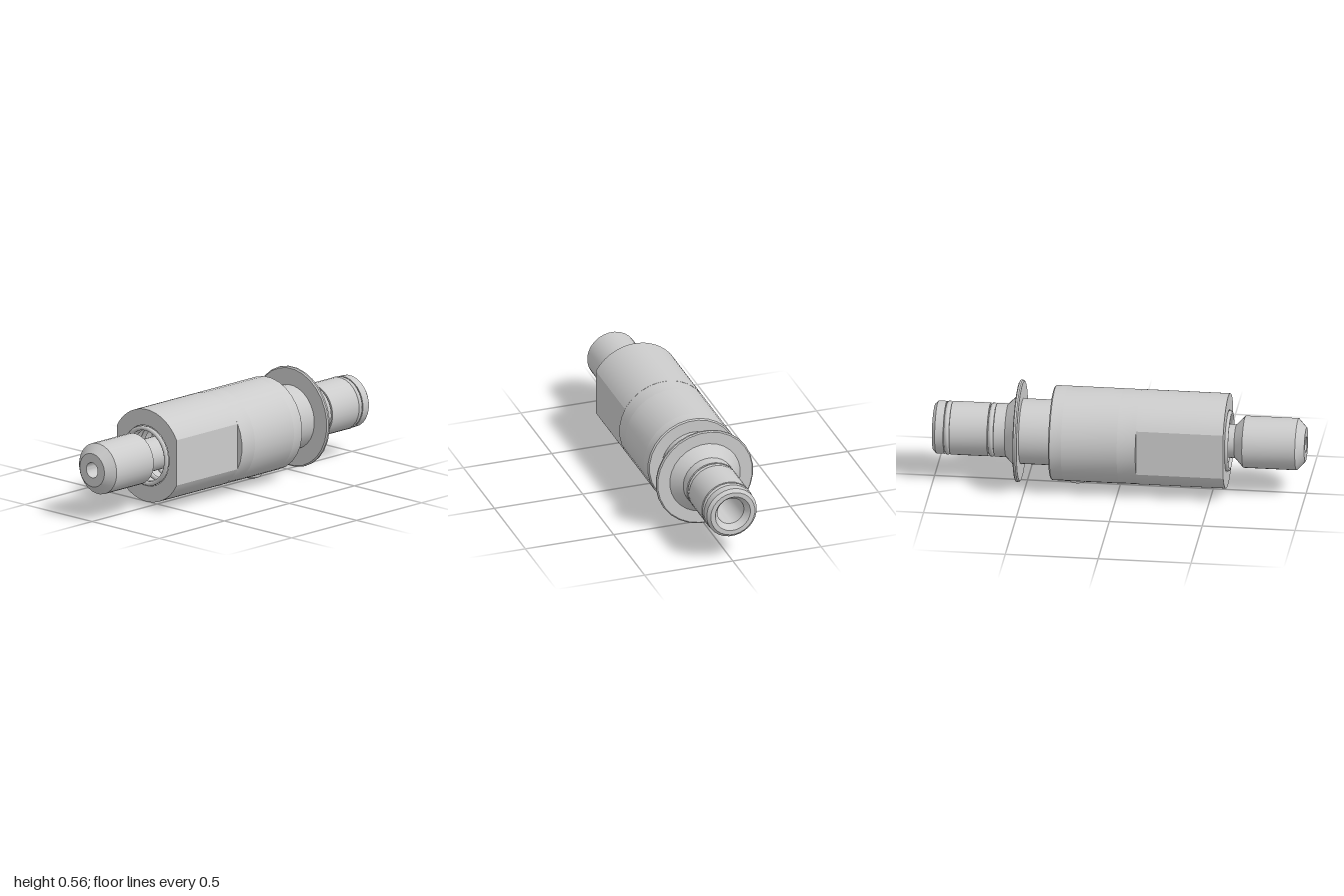
import * as THREE from 'three';
import { toCreasedNormals } from 'three/addons/utils/BufferGeometryUtils.js';

const SIDES = 28;
const STEP = (Math.PI * 2) / SIDES;
const AXIS_Y = 0.284;
const mat = new THREE.MeshStandardMaterial({ color: 0xcccccc });
const matDouble = new THREE.MeshStandardMaterial({ color: 0xcccccc, side: THREE.DoubleSide });

function add(parent, name, geo, material = mat) {
  const mesh = new THREE.Mesh(geo, material);
  mesh.name = name;
  parent.add(mesh);
  return mesh;
}

// Turned part along z from [radius, z] pairs; angle 0 points straight down
function turned(points, start = STEP / 2, segs = SIDES) {
  const geo = new THREE.LatheGeometry(points.map(([r, z]) => new THREE.Vector2(r, z)), segs, start, segs * STEP);
  geo.rotateX(Math.PI / 2);
  return toCreasedNormals(geo, 0.45);
}

// Surface grid from a rule fn(i, j) -> [x, y, z]
function grid(nu, nv, fn) {
  const pos = [], idx = [];
  for (let i = 0; i <= nu; i++) for (let j = 0; j <= nv; j++) pos.push(...fn(i, j));
  for (let i = 0; i < nu; i++) for (let j = 0; j < nv; j++) {
    const a = i * (nv + 1) + j, b = a + nv + 1;
    idx.push(a, b, a + 1, b, b + 1, a + 1);
  }
  const geo = new THREE.BufferGeometry();
  geo.setAttribute('position', new THREE.Float32BufferAttribute(pos, 3));
  geo.setIndex(idx);
  geo.computeVertexNormals();
  return geo;
}

export function createModel() {
  const model = new THREE.Group();
  const body = new THREE.Group();
  body.name = 'plungerAssembly';
  body.position.y = AXIS_Y;
  model.add(body);

  // Hollow shaft: nose, neck, collar, flange and grooved rear spigot
  add(body, 'shaft', turned([
    [0.1, -1], [0.125, -1], [0.142, -0.983], [0.142, -0.938], [0.128, -0.938], [0.128, -0.906],
    [0.144, -0.906], [0.144, -0.702], [0.128, -0.702], [0.128, -0.668], [0.144, -0.668],
    [0.144, -0.607], [0.2, -0.55], [0.268, -0.55], [0.275, -0.555 + 0.01], [0.275, -0.535],
    [0.268, -0.528], [0.176, -0.528], [0.176, 0.06], [0.09, 0.06], [0.09, 0.622],
    [0.14, 0.67], [0.14, 0.955], [0.092, 1], [0.042, 1], [0.042, -0.65], [0.075, -0.65],
    [0.075, -0.965], [0.1, -1],
  ]));

  // Seal rings in the two grooves
  for (const z of [-0.922, -0.685]) {
    const ring = add(body, 'sealRing', new THREE.TorusGeometry(0.131, 0.0145, 10, SIDES));
    ring.position.z = z;
  }

  // Sleeve, front part with two wrench flats
  const R = 0.255, BORE = 0.18, flat = Math.acos(0.222 / R);
  const section = new THREE.Shape();
  section.absarc(0, 0, R, flat, Math.PI - flat);
  section.absarc(0, 0, R, Math.PI + flat, Math.PI * 2 - flat);
  section.closePath();
  section.holes.push(new THREE.Path().absarc(0, 0, 0.167, 0, Math.PI * 2, true));
  const front = new THREE.ExtrudeGeometry(section, { depth: 0.47, bevelEnabled: false, curveSegments: 14 });
  front.translate(0, 0, 0.11);
  add(body, 'sleeveFront', toCreasedNormals(front, 0.45));

  // Sleeve, round rear part; the middle stretch is left open at the bottom for the slot panel
  const z0 = -0.29, z1 = 0.01, edge = 2.5 * STEP;
  const tube = (a, b, c = 0) => [[BORE, a], [R - c, a], [R, a + c], [R, b], [BORE, b], [BORE, a]];
  add(body, 'sleeveRearEnd', turned(tube(-0.36, z0, 0.007)));
  add(body, 'sleeveMiddle', turned(tube(z0, z1), edge, SIDES - 5));
  add(body, 'sleeveStep', turned(tube(z1, 0.11)));

  // Slot panel: each half runs from the rounded slot outline to the open edge of the sleeve
  const half = 0.05, s0 = -0.28, s1 = 0.0, zs = [z0];
  for (let i = 0; i <= 8; i++) zs.push(s0 + half * (1 - Math.cos((i / 8) * Math.PI / 2)));
  for (let i = 0; i <= 8; i++) zs.push(s1 - half * (1 - Math.sin((i / 8) * Math.PI / 2)));
  zs.push(z1);
  const gap = (z) => {
    const d = Math.max(s0 + half - z, z - (s1 - half), 0);
    return Math.sqrt(Math.max(0, half * half - d * d)) / R;
  };
  const at = (r, a, z) => [r * Math.sin(a), -r * Math.cos(a), z];
  for (const side of [1, -1]) {
    const panel = (r, flip) => grid(zs.length - 1, 4, (i, j) => {
      const t = (flip ? 4 - j : j) / 4, g = gap(zs[i]);
      return at(r, side * (g + (edge - g) * t), zs[i]);
    });
    add(body, 'slotPanelOuter', panel(R, side < 0), matDouble);
    add(body, 'slotPanelInner', panel(BORE, side > 0), matDouble);
    add(body, 'slotWall', grid(zs.length - 1, 1,
      (i, j) => at(j ? R : BORE, side * gap(zs[i]), zs[i])), matDouble);
  }

  // Domed guide pin at the rear end of the slot
  const pinProfile = [[0, 0.16], [0.051, 0.16], [0.051, 0.262], [0.046, 0.27], [0.026, 0.278], [0, 0.284]];
  const pin = new THREE.LatheGeometry(pinProfile.map(([r, y]) => new THREE.Vector2(r, y)), 20);
  pin.rotateX(Math.PI);
  add(body, 'guidePin', toCreasedNormals(pin, 0.6)).position.z = -0.23;

  // Compression spring around the neck, with closed end coils
  const coil = new THREE.Curve();
  const turns = 8;
  coil.getPoint = (t, target = new THREE.Vector3()) => {
    const a = t * turns * Math.PI * 2 - 0.3;
    const z = THREE.MathUtils.clamp(0.075 + ((t * turns - 1) / (turns - 2)) * 0.51, 0.075, 0.585);
    return target.set(0.152 * Math.cos(a), 0.152 * Math.sin(a), z);
  };
  add(body, 'spring', new THREE.TubeGeometry(coil, turns * 28, 0.0125, 8, false), matDouble);

  return model;
}
